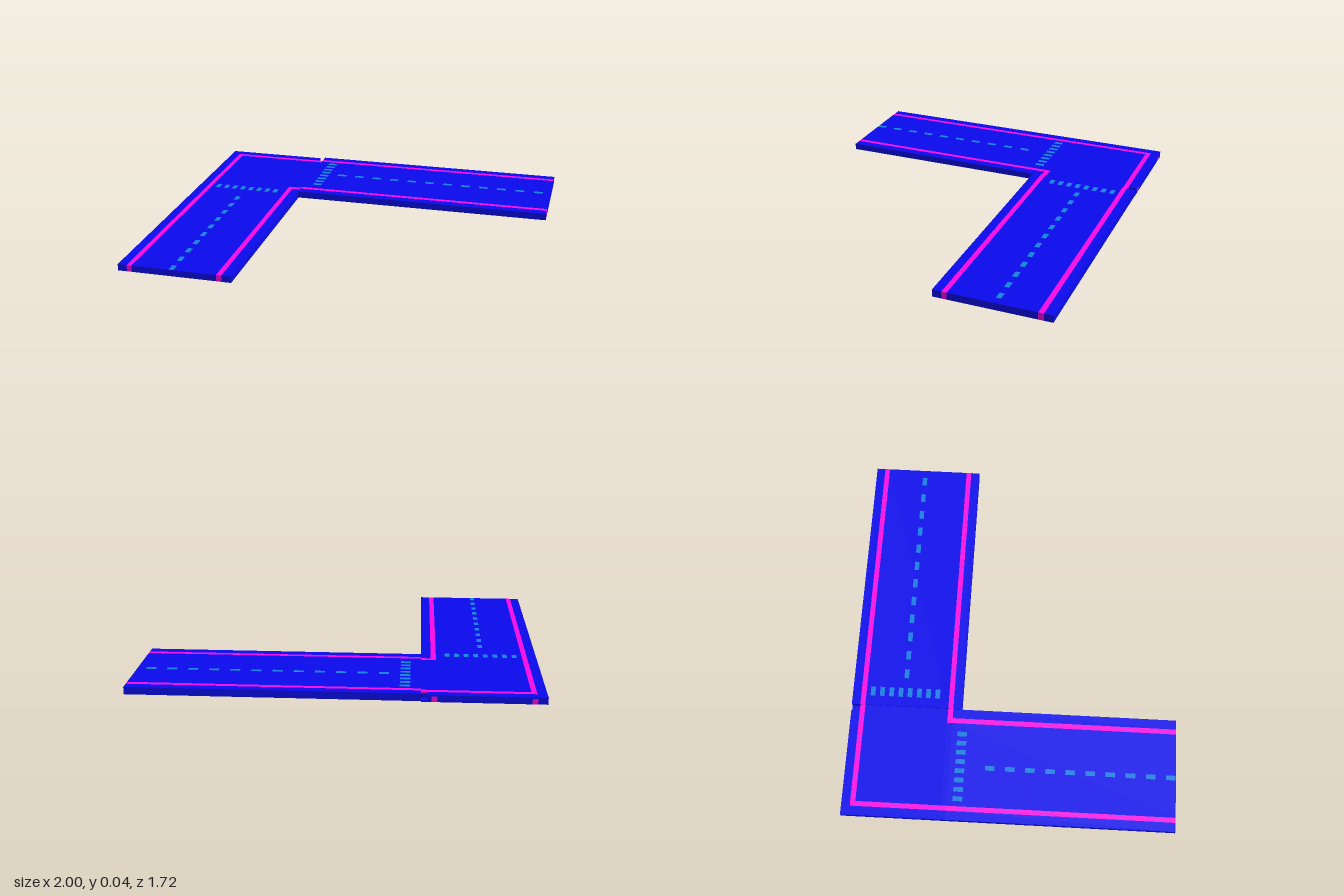
import * as THREE from 'three';

const blue = new THREE.MeshStandardMaterial({ color: 0x0a0aee });
const pink = new THREE.MeshStandardMaterial({ color: 0xf808e6 });
const cyan = new THREE.MeshStandardMaterial({ color: 0x1480e4 });

// Heights: the long arm sits slightly proud of the corner slab
const LOW = 0.034, HIGH = 0.04, LAYER = 0.028;
const BACK = -0.86, FRONT = 0.86, CORNER = -0.32, JOIN = -0.41;

export function createModel() {
  const model = new THREE.Group();

  // Box given by its extents on each axis
  function block(parent, name, material, [x0, x1], [y0, y1], [z0, z1]) {
    const mesh = new THREE.Mesh(new THREE.BoxGeometry(x1 - x0, y1 - y0, z1 - z0), material);
    mesh.position.set((x0 + x1) / 2, (y0 + y1) / 2, (z0 + z1) / 2);
    mesh.name = name;
    parent.add(mesh);
  }
  function section(name) {
    const group = new THREE.Group();
    group.name = name;
    model.add(group);
    return group;
  }

  // Strips across a road: kerb, edge line, lane, edge line, kerb
  const names = ['outerKerb', 'outerLine', 'lane', 'innerLine', 'innerKerb'];
  const xCuts = [-1, -0.953, -0.927, -0.486, -0.459, JOIN];
  const zCuts = [BACK, -0.815, -0.788, -0.347, CORNER, -0.273];

  // Arm running to the front, its lower layer continuing under the corner
  const frontRoad = section('frontRoad');
  const base = section('cornerBase');
  names.forEach((name, i) => {
    const material = i % 2 ? pink : blue;
    const xs = [xCuts[i], xCuts[i + 1]];
    block(frontRoad, name, material, xs, [0, LOW], [CORNER, FRONT]);
    block(base, name + 'Base', material, xs, [0, LAYER], [i === 4 ? -0.815 : BACK, CORNER]);
  });

  // Small open notch in the back kerb beside the join
  block(base, 'notchSide', blue, [-0.459, -0.44], [0, LAYER], [BACK, -0.815]);
  block(base, 'notchFloor', blue, [-0.44, JOIN], [0, 0.004], [BACK, -0.815]);

  // Corner surface with the edge lines turning through it
  const corner = section('cornerSurface');
  [
    ['sideKerb', blue, [-1, -0.953], [BACK, CORNER]],
    ['backKerb', blue, [-0.953, -0.44], [BACK, -0.815]],
    ['backLine', pink, [-0.953, JOIN], [-0.815, -0.788]],
    ['sideLine', pink, [-0.953, -0.927], [-0.788, CORNER]],
    ['cornerLane', blue, [-0.927, JOIN], [-0.788, -0.347]],
    ['cornerLaneEdge', blue, [-0.927, -0.486], [-0.347, CORNER]],
    ['insideLine', pink, [-0.486, JOIN], [-0.347, CORNER]],
  ].forEach(([name, material, xs, zs]) => block(corner, name, material, xs, [LAYER, LOW], zs));

  // Arm running to the side
  const sideRoad = section('sideRoad');
  names.forEach((name, i) =>
    block(sideRoad, name, i % 2 ? pink : blue, [JOIN, 1], [0.003, HIGH], [zCuts[i], zCuts[i + 1]]));

  // Painted marks: thin slabs centred at x, z on a road top
  const marks = section('roadMarkings');
  function mark(name, x, z, w, d, top) {
    block(marks, name, cyan, [x - w / 2, x + w / 2], [top - 0.002, top + 0.001], [z - d / 2, z + d / 2]);
  }
  for (let i = 0; i < 10; i++) mark('frontCentreDash', -0.72, -0.107 + i * 0.1045, 0.025, 0.05, LOW);
  for (let i = 0; i < 12; i++) mark('sideCentreDash', -0.228 + i * 0.1053, -0.582, 0.05, 0.025, HIGH);
  for (let i = 0; i < 8; i++) {
    mark('frontCrossingBar', -0.888 + i * 0.0492, -0.264, 0.025, 0.05, LOW);
    mark('sideCrossingBar', -0.333, -0.753 + i * 0.0492, 0.05, 0.025, HIGH);
  }
  return model;
}
